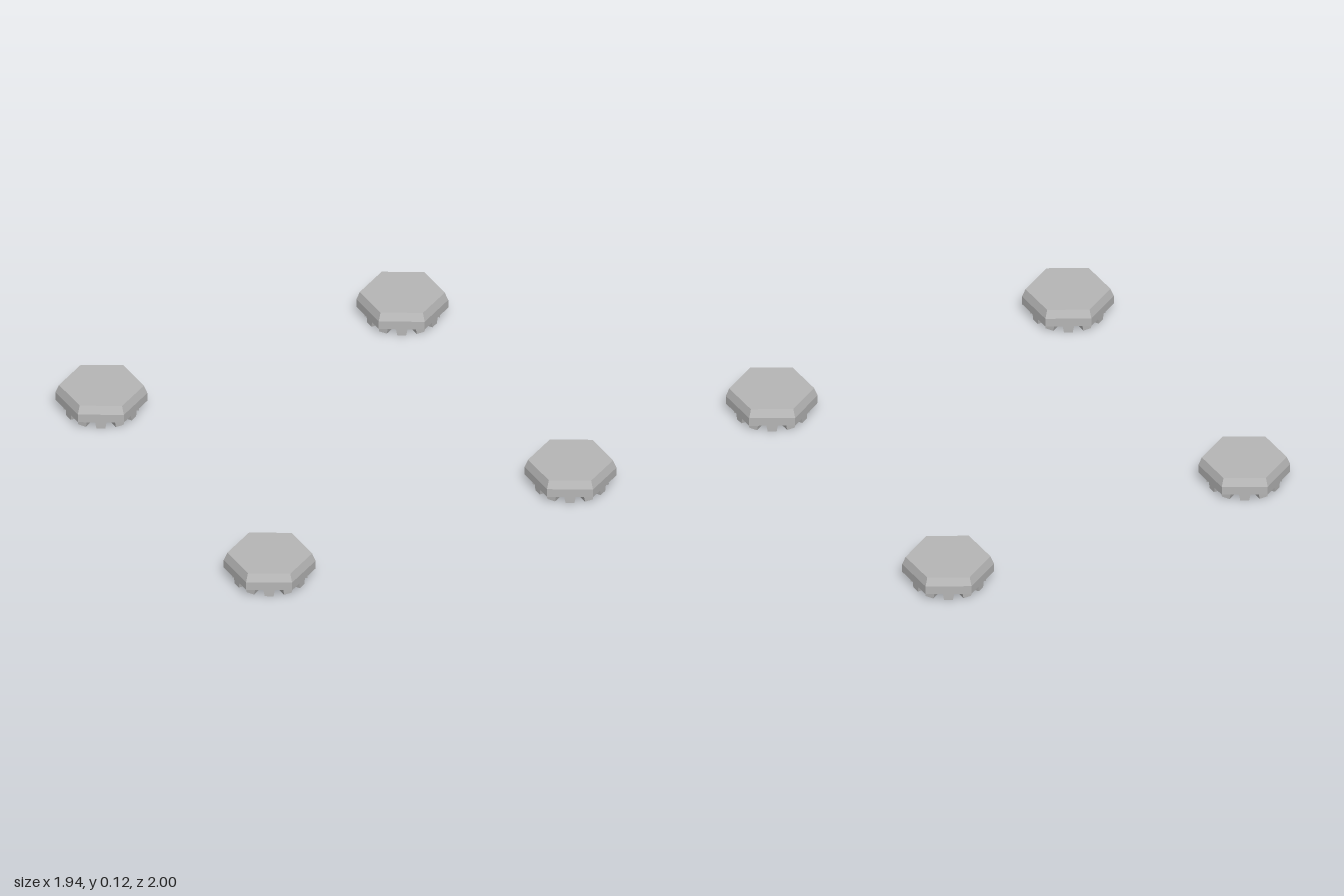
import * as THREE from 'three';

const TEETH = 12;

// Faceted solid of revolution from [radius, y] pairs, bottom to top
function faceted(profile, sides) {
  const g = new THREE.LatheGeometry(profile.map(([r, y]) => new THREE.Vector2(r, y)), sides).toNonIndexed();
  g.computeVertexNormals();
  return g;
}

// Block whose lower end is narrower than its root
function toothGeometry() {
  const g = new THREE.BoxGeometry(0.056, 0.042, 0.045).toNonIndexed();
  const p = g.attributes.position;
  for (let i = 0; i < p.count; i++) {
    if (p.getY(i) < 0) p.setX(i, p.getX(i) * 0.72);
  }
  g.computeVertexNormals();
  return g;
}

export function createModel() {
  const model = new THREE.Group();
  model.name = 'hexFeet';
  const steel = new THREE.MeshStandardMaterial({ color: 0xb6b6b6 });
  steel.name = 'grey steel';

  const bodyGeo = faceted([[0, 0.04], [0.21, 0.04], [0.21, 0.082], [0.194, 0.122], [0, 0.122]], 6);
  const plugGeo = faceted([[0, 0.02], [0.056, 0.02], [0.06, 0.042]], 12);
  const toothGeo = toothGeometry();

  const add = (parent, geo, name) => {
    const m = new THREE.Mesh(geo, steel);
    m.name = name;
    parent.add(m);
    return m;
  };

  // One foot in each corner
  for (const sx of [-1, 1]) {
    for (const sz of [-1, 1]) {
      const foot = new THREE.Group();
      foot.name = (sz > 0 ? 'front' : 'back') + (sx > 0 ? 'Left' : 'Right') + 'Foot';
      foot.position.set(sx * 0.787, 0, sz * 0.79);
      add(foot, bodyGeo, 'hexBody');
      add(foot, plugGeo, 'centrePlug');

      // Ring of grip teeth underneath
      for (let i = 0; i < TEETH; i++) {
        const a = (i / TEETH) * Math.PI * 2;
        const tooth = add(foot, toothGeo, 'gripTooth');
        tooth.position.set(Math.sin(a) * 0.15, 0.021, Math.cos(a) * 0.15);
        tooth.rotation.y = a;
      }
      model.add(foot);
    }
  }
  return model;
}
